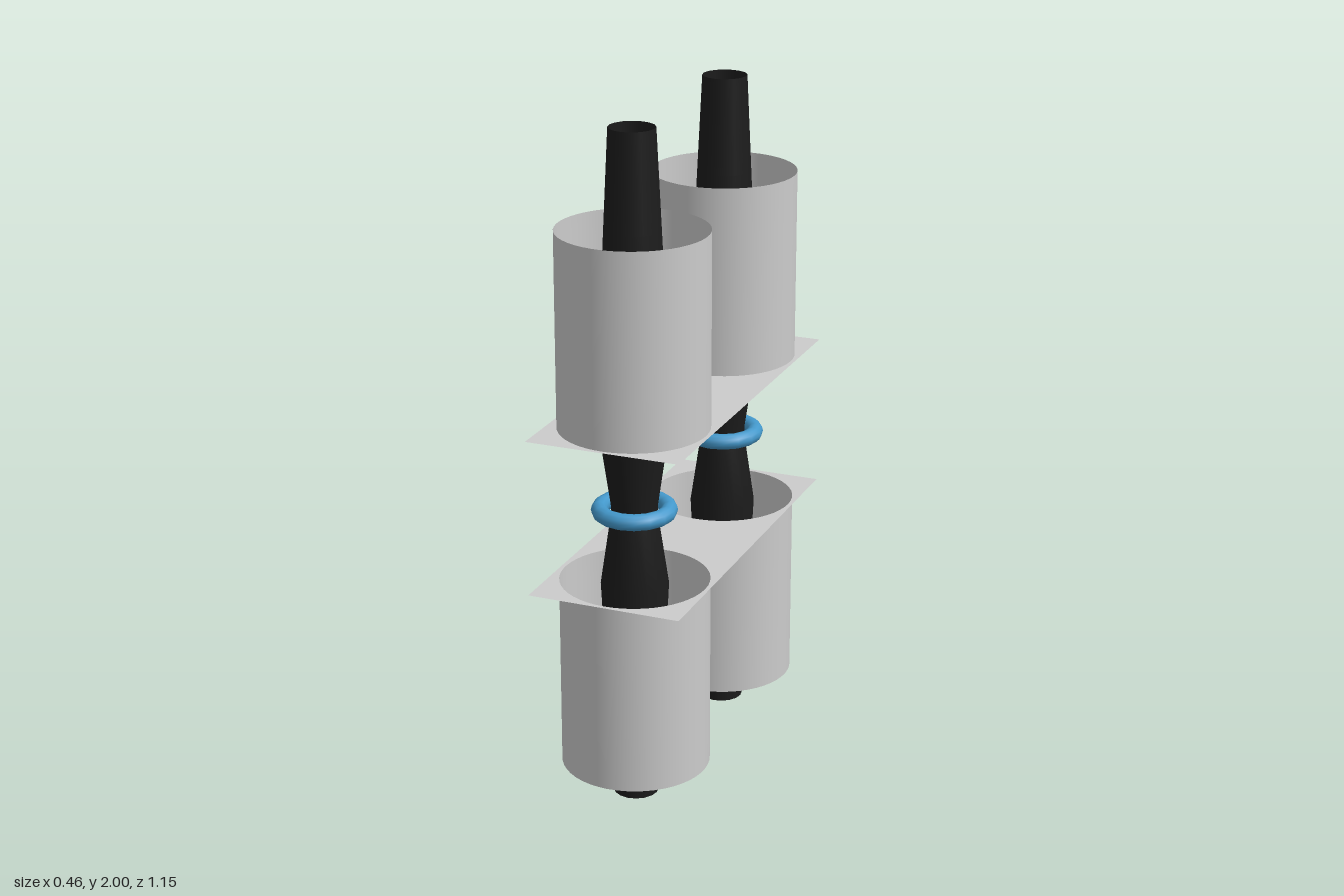
import * as THREE from 'three';

const SHELL_R = 0.217, COLUMN_Z = 0.344;
const grey = new THREE.MeshStandardMaterial({ color: 0xcccccc, side: THREE.DoubleSide });
const black = new THREE.MeshStandardMaterial({ color: 0x1c1c1c, side: THREE.DoubleSide });
const blue = new THREE.MeshStandardMaterial({ color: 0x4499cc });

function add(parent, name, geometry, material, y = 0) {
  const mesh = new THREE.Mesh(geometry, material);
  mesh.name = name;
  mesh.position.y = y;
  parent.add(mesh);
  return mesh;
}

// Thin rectangular sheet with a round opening for each column
function plateGeometry() {
  const w = 0.229, d = 0.573;
  const shape = new THREE.Shape([[-w, -d], [w, -d], [w, d], [-w, d]].map(p => new THREE.Vector2(...p)));
  for (const s of [-1, 1]) {
    shape.holes.push(new THREE.Path().absarc(0, s * COLUMN_Z, SHELL_R, 0, Math.PI * 2, true));
  }
  return new THREE.ShapeGeometry(shape, 24).rotateX(-Math.PI / 2);
}

// Open tube, pinched at the waist and tapering to both ends
function tubeGeometry() {
  const profile = [
    [0.066, 0], [0.071, 0.105], [0.098, 0.665], [0.067, 0.875],
    [0.067, 0.905], [0.1, 1.135], [0.106, 1.185], [0.08, 1.715], [0.066, 2],
  ];
  return new THREE.LatheGeometry(profile.map(p => new THREE.Vector2(...p)), 16);
}

// One column: inner tube, ring at its waist, and an open shell above and below
function createColumn() {
  const column = new THREE.Group();
  add(column, 'innerTube', tubeGeometry(), black);
  add(column, 'waistRing', new THREE.TorusGeometry(0.1, 0.024, 12, 16).rotateX(Math.PI / 2), blue, 0.891);
  for (const [name, y0, y1] of [['upperShell', 1.143, 1.715], ['lowerShell', 0.106, 0.68]]) {
    const shell = new THREE.CylinderGeometry(SHELL_R, SHELL_R, y1 - y0, 48, 1, true);
    add(column, name, shell, grey, (y0 + y1) / 2);
  }
  return column;
}

export function createModel() {
  const model = new THREE.Group();
  model.name = 'twinColumns';
  for (const [name, s] of [['frontColumn', 1], ['backColumn', -1]]) {
    const column = createColumn();
    column.name = name;
    column.position.z = s * COLUMN_Z;
    model.add(column);
  }
  add(model, 'upperPlate', plateGeometry(), grey, 1.143);
  add(model, 'lowerPlate', plateGeometry(), grey, 0.68);
  return model;
}
